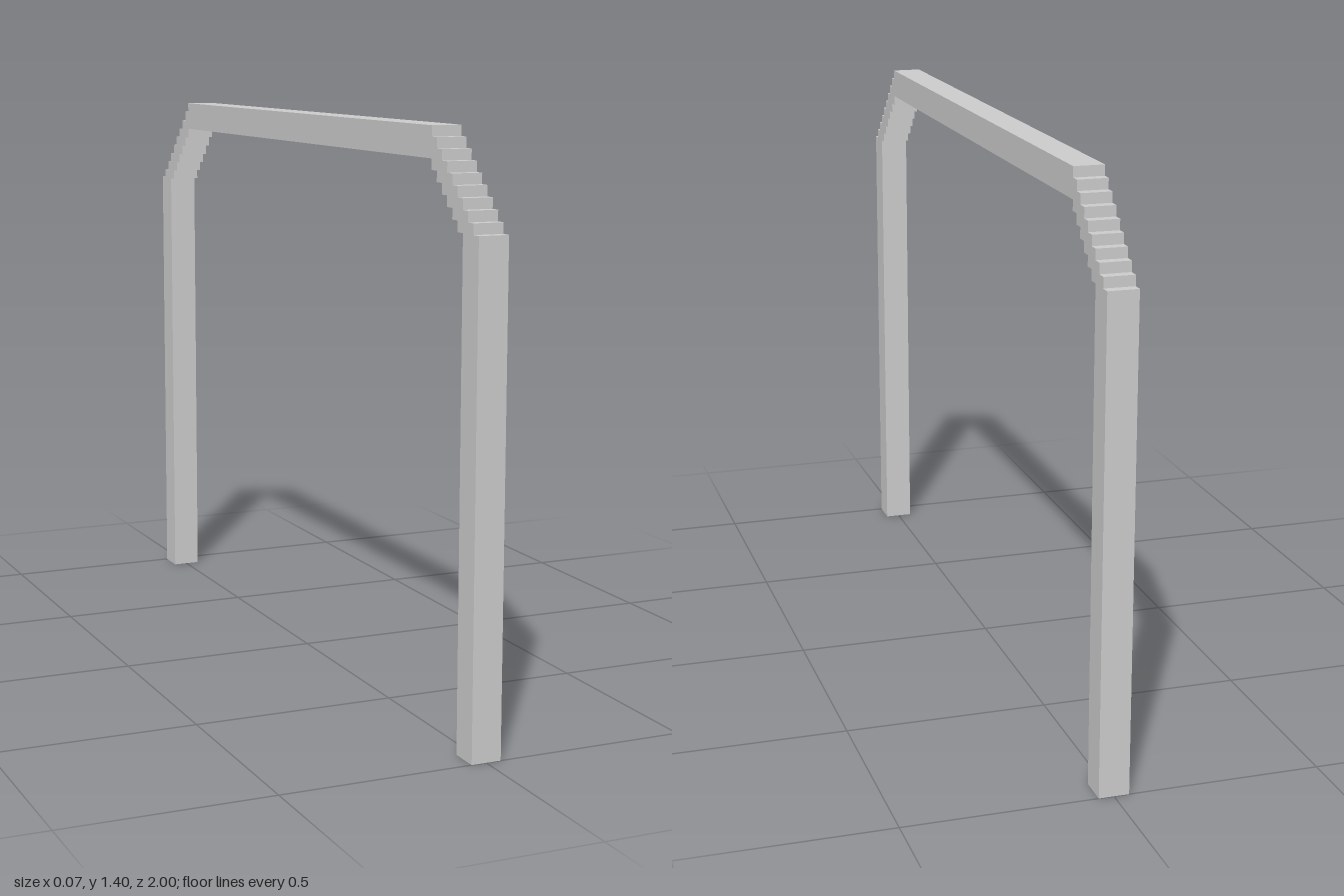
import * as THREE from 'three';

const T = 0.073;       // bar thickness
const TOP = 1.4;       // top of the beam
const LEG = 1.175;     // height of the legs
const BEAM_END = 0.775;
const OUTER = 9, INNER = 6; // stair steps on each side of a bend

// Stepped outline of a corner bend, joining the leg top to the beam end
function bendShape() {
  const pts = [];
  const s = (TOP - LEG) / OUTER;
  for (let i = 1; i < OUTER; i++) {
    pts.push([1 - s * i, LEG + s * (i - 1)], [1 - s * i, LEG + s * i]);
  }
  pts.push([BEAM_END, TOP - s]);
  const r = (TOP - T - LEG) / INNER;
  for (let i = INNER - 1; i > 0; i--) {
    pts.push([1 - T - r * (i + 1), LEG + r * i], [1 - T - r * i, LEG + r * i]);
  }
  pts.push([1 - T - r, LEG]);
  return new THREE.Shape(pts.map(([z, y]) => new THREE.Vector2(z, y)));
}

export function createModel() {
  const group = new THREE.Group();
  const material = new THREE.MeshStandardMaterial({ color: 0xcccccc, flatShading: true });
  const add = (name, geometry) => {
    const mesh = new THREE.Mesh(geometry, material);
    mesh.name = name;
    group.add(mesh);
  };

  // Horizontal top beam
  add('topBeam', new THREE.BoxGeometry(T, T, 2 * BEAM_END).translate(0, TOP - T / 2, 0));

  // Legs and stepped bends at both ends
  for (const [end, side] of [['front', 1], ['back', -1]]) {
    add(end + 'Leg', new THREE.BoxGeometry(T, LEG, T).translate(0, LEG / 2, side * (1 - T / 2)));
    const bend = new THREE.ExtrudeGeometry(bendShape(), { depth: T, bevelEnabled: false });
    bend.translate(0, 0, -T / 2).rotateY(-side * Math.PI / 2);
    add(end + 'SteppedBend', bend);
  }
  return group;
}
